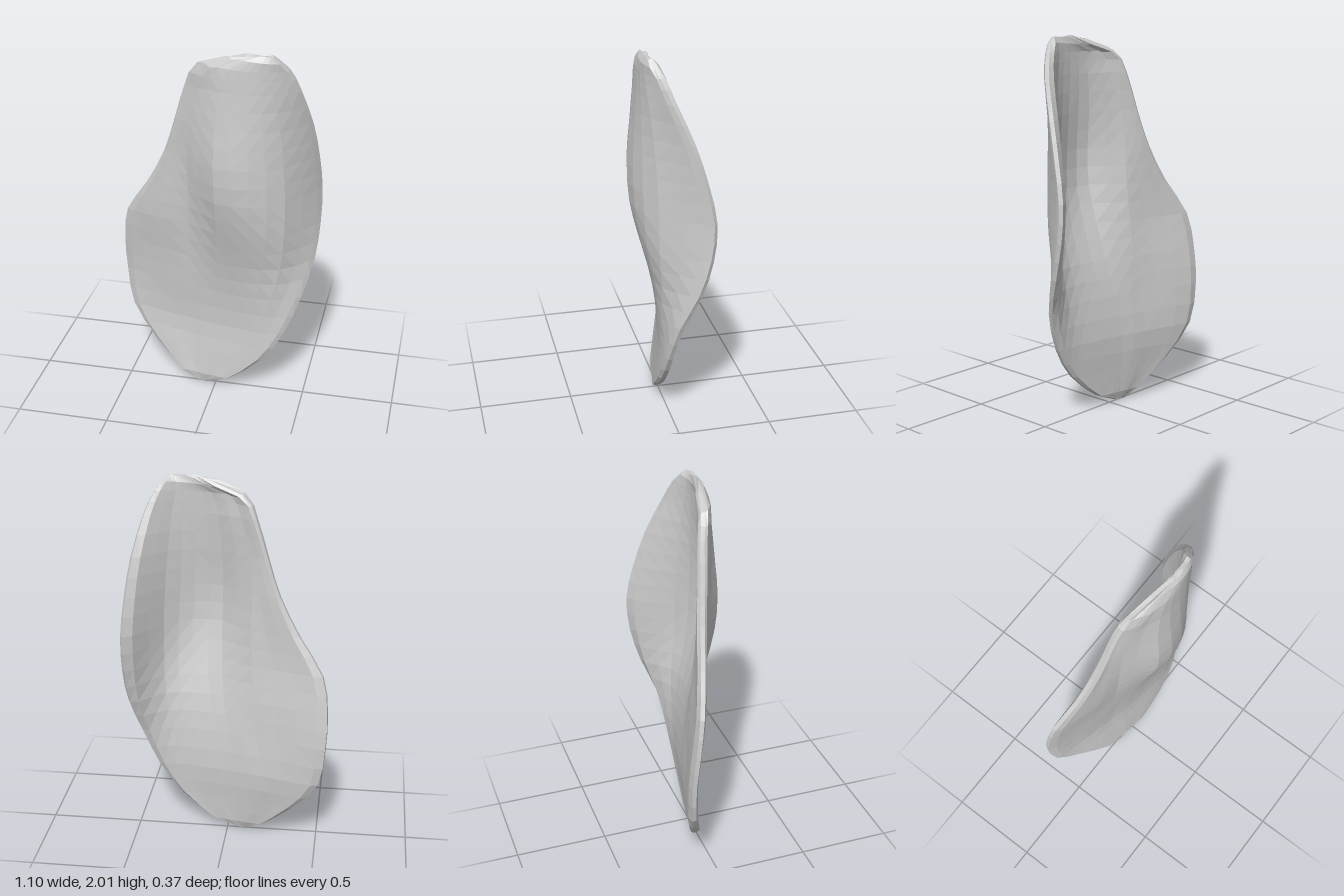
import * as THREE from 'three';

// Cross-sections from bottom to top:
// [y, left x, crease x, right x, three z values from left edge to crease, four more on to the right edge]
const SECTIONS = [
  [0.00, -0.11, -0.09, -0.05, 0.00, 0.00, 0.00, 0.00, 0.00, 0.00, 0.00],
  [0.05, -0.20, -0.11, 0.08, -0.025, -0.015, -0.01, 0.00, 0.005, 0.015, 0.02],
  [0.20, -0.37, -0.16, 0.265, -0.09, -0.062, -0.04, -0.015, 0.005, 0.022, 0.03],
  [0.38, -0.508, -0.20, 0.385, -0.143, -0.11, -0.068, -0.03, -0.003, 0.02, 0.02],
  [0.60, -0.542, -0.17, 0.47, -0.155, -0.102, -0.045, -0.007, 0.022, 0.03, -0.02],
  [0.80, -0.546, -0.15, 0.522, -0.135, -0.082, -0.025, 0.033, 0.06, 0.037, -0.10],
  [1.00, -0.515, -0.14, 0.538, -0.105, -0.047, -0.003, 0.085, 0.112, 0.057, -0.155],
  [1.20, -0.385, -0.135, 0.538, -0.055, -0.022, 0.015, 0.135, 0.146, 0.06, -0.17],
  [1.40, -0.28, -0.135, 0.522, -0.022, -0.005, 0.03, 0.148, 0.152, 0.067, -0.128],
  [1.60, -0.212, -0.12, 0.493, 0.002, 0.02, 0.045, 0.132, 0.142, 0.08, -0.066],
  [1.80, -0.15, -0.07, 0.44, 0.022, 0.042, 0.067, 0.12, 0.13, 0.10, 0.018],
  [1.92, -0.075, 0.00, 0.385, 0.052, 0.075, 0.095, 0.12, 0.125, 0.11, 0.065],
  [1.995, 0.18, 0.22, 0.31, 0.113, 0.113, 0.113, 0.113, 0.113, 0.113, 0.11],
];
const HALF_THICKNESS = 0.025;
const CREASE = 1 / 3; // where the crease lies across the sheet

// Grid lines across and up the sheet, with a narrow band along the rim
const ACROSS = [0, 0.04, 0.13, 0.23, CREASE, 0.41, 0.5, 0.58, 0.67, 0.75, 0.83, 0.9, 0.965, 1];
const UP = [0];
for (let k = 2; k <= 24; k++) UP.push(k / 24);
const COLS = ACROSS.length - 1, ROWS = UP.length - 1;

// Smooth curve through evenly spaced values, u from 0 to 1
function smooth(values, u) {
  const last = values.length - 1;
  const i = Math.min(Math.floor(u * last), last - 1), f = u * last - i;
  const at = k => values[THREE.MathUtils.clamp(k, 0, last)];
  const [a, b, c, d] = [at(i - 1), at(i), at(i + 1), at(i + 2)];
  return b + 0.5 * f * (c - a + f * (2 * a - 5 * b + 4 * c - d + f * (3 * (b - c) + d - a)));
}

// Point on the middle of the curved sheet: s across, t upwards
function sheetPoint(s, t) {
  const row = SECTIONS[0].map((_, k) => smooth(SECTIONS.map(r => r[k]), t));
  const [y, left, crease, right] = row;
  if (s < CREASE) {
    const u = s / CREASE;
    return new THREE.Vector3(THREE.MathUtils.lerp(left, crease, u), y, smooth(row.slice(4, 7), u));
  }
  const u = (s - CREASE) / (1 - CREASE);
  return new THREE.Vector3(THREE.MathUtils.lerp(crease, right, u), y, smooth(row.slice(6), u));
}

function sheetNormal(s, t) {
  const e = 0.01, lo = v => Math.max(v - e, 0), hi = v => Math.min(v + e, 1);
  const across = sheetPoint(hi(s), t).sub(sheetPoint(lo(s), t));
  const up = sheetPoint(s, hi(t)).sub(sheetPoint(s, lo(t)));
  return across.cross(up).normalize();
}

function shellGeometry() {
  const points = [], indices = [];
  const stride = COLS + 1, layer = stride * (ROWS + 1);
  // Front layer, then back layer; both thin out at the rim
  for (const side of [1, -1]) {
    UP.forEach((t, j) => ACROSS.forEach((s, i) => {
      const rim = i === 0 || i === COLS || j === 0 || j === ROWS;
      const offset = side * HALF_THICKNESS * (rim ? 0.45 : 1);
      points.push(sheetPoint(s, t).addScaledVector(sheetNormal(s, t), offset));
    }));
  }
  // Each cell is split along its shorter diagonal
  for (let j = 0; j < ROWS; j++) {
    for (let i = 0; i < COLS; i++) {
      const a = j * stride + i, b = a + 1, c = b + stride, d = a + stride;
      const [p, q, r, v] = points[a].distanceTo(points[c]) < points[b].distanceTo(points[d])
        ? [a, b, c, d] : [b, c, d, a];
      indices.push(p, q, r, p, r, v);
      indices.push(p + layer, r + layer, q + layer, p + layer, v + layer, r + layer);
    }
  }
  // Rim wall joining the layers, followed anticlockwise
  const loop = [];
  for (let i = 0; i < COLS; i++) loop.push(i);
  for (let j = 0; j < ROWS; j++) loop.push(j * stride + COLS);
  for (let i = COLS; i > 0; i--) loop.push(ROWS * stride + i);
  for (let j = ROWS; j > 0; j--) loop.push(j * stride);
  loop.forEach((a, k) => {
    const b = loop[(k + 1) % loop.length];
    indices.push(a, a + layer, b + layer, a, b + layer, b);
  });
  const geometry = new THREE.BufferGeometry().setFromPoints(points);
  geometry.setIndex(indices);
  const faceted = geometry.toNonIndexed();
  faceted.computeVertexNormals();
  return faceted;
}

export function createModel() {
  const group = new THREE.Group();
  group.name = 'curvedShell';
  const grey = new THREE.MeshStandardMaterial({ color: 0xcccccc });
  grey.name = 'light grey';
  const shell = new THREE.Mesh(shellGeometry(), grey);
  shell.name = 'shell';
  group.add(shell);
  return group;
}
